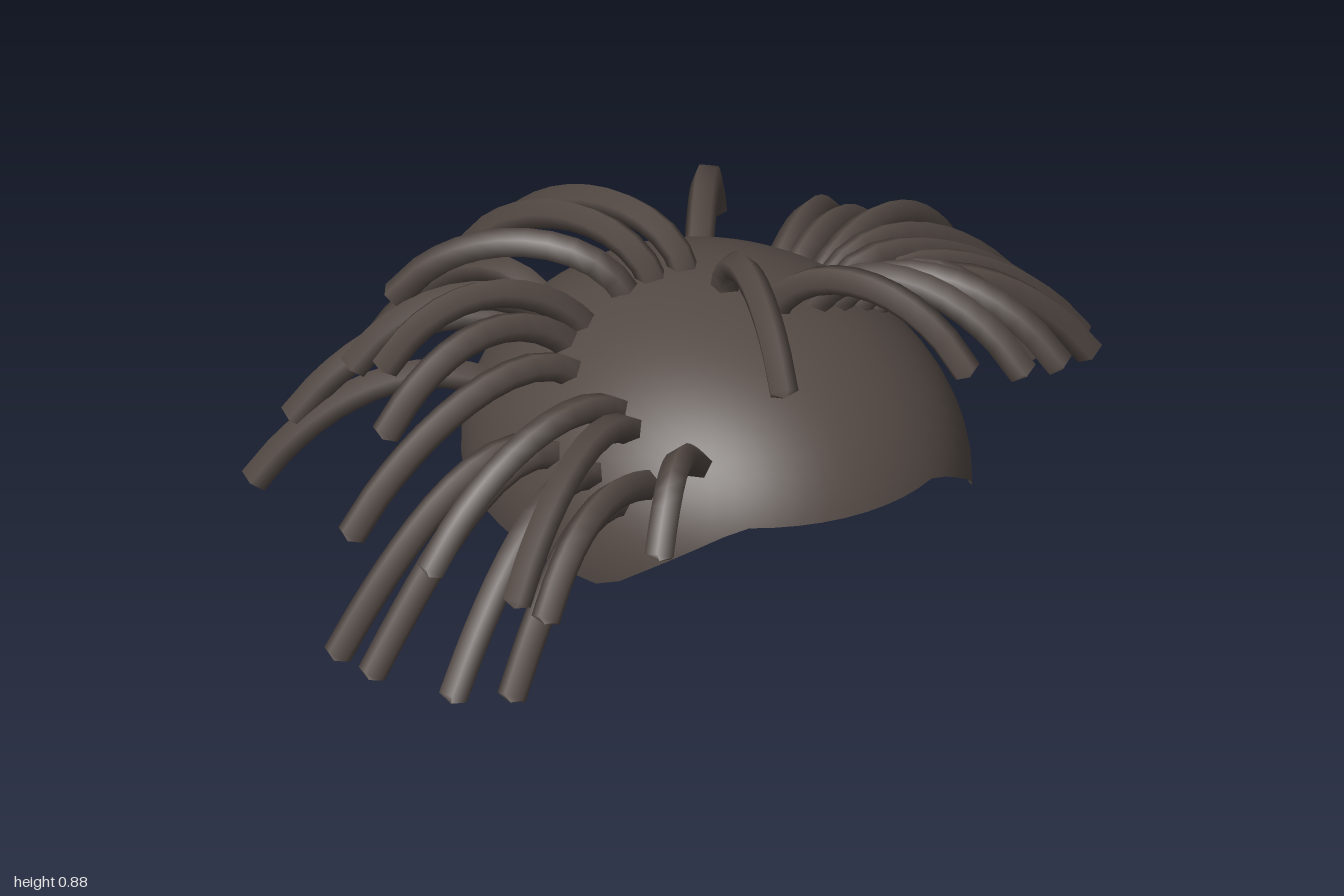
import * as THREE from 'three';

// ellipsoid that carries the cap
const C = new THREE.Vector3(0.05, 0.26, 0.17);
const R = new THREE.Vector3(0.56, 0.475, 0.655);

const normalAt = (p) => p.clone().sub(C).divide(R).divide(R).normalize();

// height of the cap's lower edge: raised over the brow, lowest at the temples
function rimHeight(z) {
  return z > 0.49 ? Math.min(0.4, 0.205 + (z - 0.49) * 0.76) : 0.205 + (0.49 - z) * 0.065;
}

function capGeometry() {
  const cols = 60, rows = 16;
  const g = new THREE.SphereGeometry(1, cols, rows);
  const { position, normal, uv } = g.attributes;
  for (let i = 0; i < position.count; i++) {
    const a = uv.getX(i) * Math.PI * 2;
    const rim = Math.acos((rimHeight(C.z + R.z * Math.sin(a)) - C.y) / R.y);
    const phi = (Math.floor(i / (cols + 1)) / rows) * rim;
    const p = new THREE.Vector3(-Math.cos(a) * Math.sin(phi), Math.cos(phi), Math.sin(a) * Math.sin(phi));
    p.multiply(R).add(C);
    const n = normalAt(p);
    position.setXYZ(i, p.x, p.y, p.z);
    normal.setXYZ(i, n.x, n.y, n.z);
  }
  // rebuild the faces as a full grid, since the lower row is now an open edge
  const index = [];
  for (let r = 0; r < rows; r++) {
    for (let s = 0; s < cols; s++) {
      const a = r * (cols + 1) + s, b = a + cols + 1;
      if (r > 0) index.push(a + 1, a, b + 1);
      index.push(a, b, b + 1);
    }
  }
  g.setIndex(index);
  return g;
}

// five-sided strand rising from the cap and drooping to its tip
function strandGeometry(rx, rz, tx, ty, tz) {
  const dx = (rx - C.x) / R.x, dz = (rz - C.z) / R.z;
  const root = new THREE.Vector3(rx, C.y + R.y * Math.sqrt(Math.max(0, 1 - dx * dx - dz * dz)), rz);
  const tip = new THREE.Vector3(tx, ty, tz);
  const n = normalAt(root);
  const dir = new THREE.Vector3(tx - rx, 0, tz - rz).normalize();
  const curve = new THREE.CubicBezierCurve3(
    root.clone().addScaledVector(n, -0.02),
    root.clone().addScaledVector(n, 0.155).addScaledVector(dir, 0.03),
    tip.clone().addScaledVector(dir, -0.15).add(new THREE.Vector3(0, 0.23, 0)),
    tip
  );
  const segs = 12, sides = 5;
  const g = new THREE.TubeGeometry(curve, segs, 0.036, sides, false);
  const pos = g.attributes.position;
  // close the tip: slide the second last ring forward, gather the last one
  const slide = tip.clone().sub(curve.getPointAt(1 - 1 / segs)).multiplyScalar(0.75);
  for (let j = 0; j <= sides; j++) {
    const k = (segs - 1) * (sides + 1) + j, e = k + sides + 1;
    pos.setXYZ(k, pos.getX(k) + slide.x, pos.getY(k) + slide.y, pos.getZ(k) + slide.z);
    pos.setXYZ(e, tip.x, tip.y, tip.z);
  }
  return g;
}

// root x, root z, tip x, tip y, tip z
const LEFT = [
  [0.28, -0.30, 0.56, 0.38, -0.71], [0.42, -0.17, 0.81, 0.29, -0.52],
  [0.44, -0.13, 0.85, 0.30, -0.39], [0.45, -0.02, 0.93, 0.37, -0.24],
  [0.43, 0.06, 0.97, 0.35, -0.01], [0.36, 0.20, 0.97, 0.36, 0.15],
  [0.41, 0.21, 0.98, 0.36, 0.24], [0.40, 0.28, 0.92, 0.40, 0.39],
  [0.35, 0.30, 0.68, 0.53, 0.55], [0.28, 0.32, 0.67, 0.56, 0.68],
  [0.22, 0.33, 0.55, 0.59, 0.72], [0.11, 0.33, 0.37, 0.66, 0.77],
];
const RIGHT = [
  [-0.25, 0.59, -0.51, 0.46, 0.86], [-0.45, 0.27, -0.94, 0.005, 0.28],
  [-0.46, 0.21, -0.98, 0.025, 0.19], [-0.34, 0.17, -0.92, 0.30, 0.15],
  [-0.33, 0.36, -0.87, 0.32, 0.43], [-0.42, 0.40, -0.91, 0.08, 0.60],
  [-0.40, 0.49, -0.80, 0.09, 0.68], [-0.33, 0.42, -0.79, 0.33, 0.68],
  [-0.35, 0.53, -0.75, 0.31, 0.75], [-0.39, -0.14, -0.84, 0.17, -0.42],
  [-0.30, -0.10, -0.76, 0.33, -0.38],
  [-0.27, 0.03, -0.72, 0.54, -0.18], [-0.25, 0.07, -0.72, 0.60, -0.04],
  [-0.30, 0.08, -0.78, 0.49, 0.07], [-0.13, 0.06, -0.52, 0.60, -0.33],
];
const CROWN = [
  [0.05, 0.21, -0.06, 0.67, 0.66], [0.02, 0.08, -0.16, 0.62, -0.44],
  [-0.06, 0.07, -0.26, 0.61, -0.43], [-0.11, -0.36, -0.26, 0.16, -0.87],
];

export function createModel() {
  const brown = new THREE.MeshStandardMaterial({ color: 0x544a45, side: THREE.DoubleSide });
  brown.name = 'dark brown';
  const model = new THREE.Group();
  model.name = 'strandedCap';

  const cap = new THREE.Mesh(capGeometry(), brown);
  cap.name = 'cap';
  model.add(cap);

  for (const [name, list] of [['leftStrands', LEFT], ['rightStrands', RIGHT], ['crownStrands', CROWN]]) {
    const group = new THREE.Group();
    group.name = name;
    for (const s of list) {
      const strand = new THREE.Mesh(strandGeometry(...s), brown);
      strand.name = 'strand';
      group.add(strand);
    }
    model.add(group);
  }
  return model;
}
